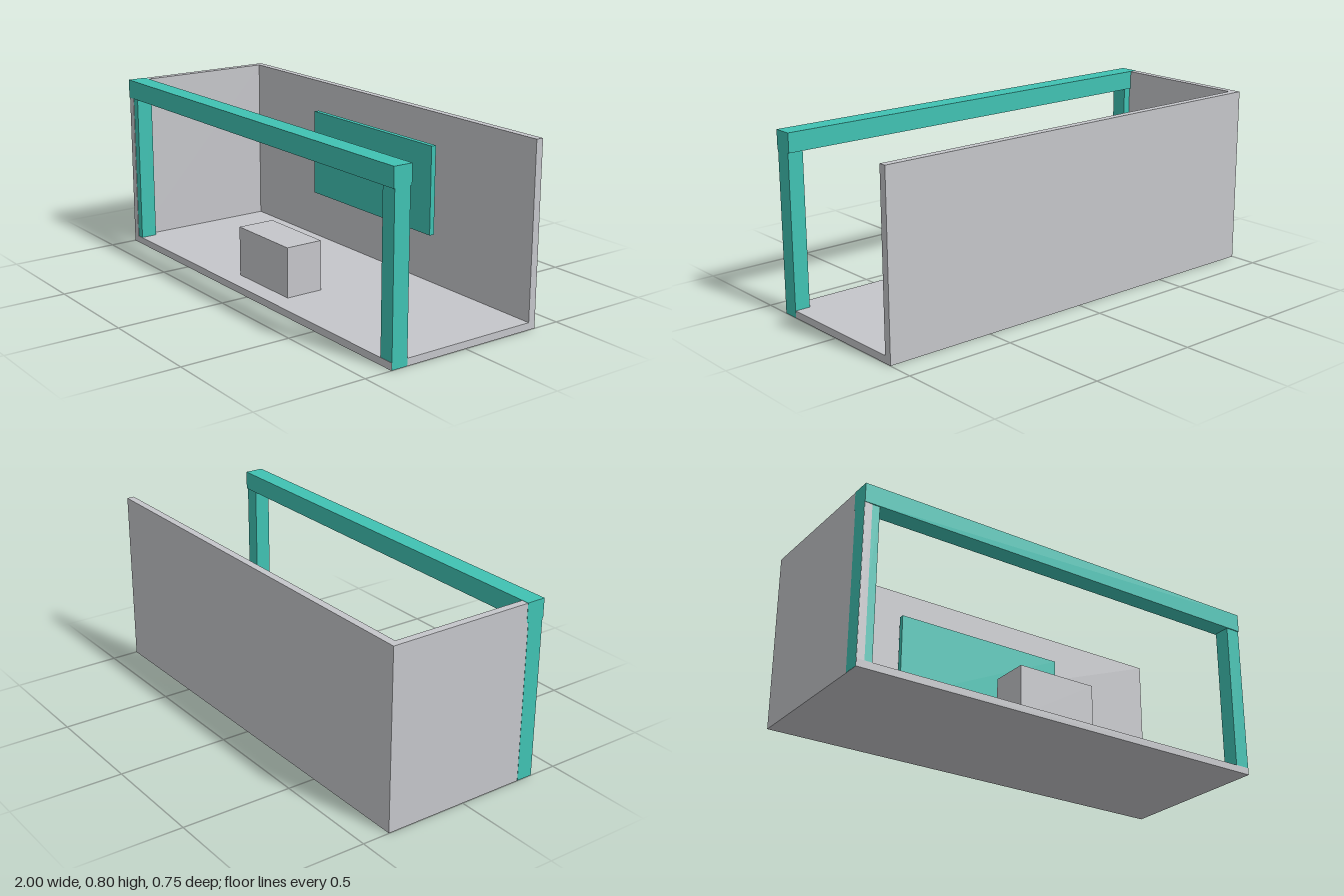
import * as THREE from 'three';

export function createModel() {
  const model = new THREE.Group();
  model.name = 'exhibitionBooth';

  const material = (name, color) => {
    const m = new THREE.MeshStandardMaterial({ color });
    m.name = name;
    return m;
  };
  const grey = material('light grey', 0xc5c6ca);
  const teal = material('teal', 0x40c2b3);
  const slate = material('slate blue', 0x4b6a80);

  // Box given by its extents along each axis
  const block = (name, mat, [x0, x1], [y0, y1], [z0, z1]) => {
    const mesh = new THREE.Mesh(new THREE.BoxGeometry(x1 - x0, y1 - y0, z1 - z0), mat);
    mesh.position.set((x0 + x1) / 2, (y0 + y1) / 2, (z0 + z1) / 2);
    mesh.name = name;
    model.add(mesh);
  };

  // Shell: floor, back wall and one side wall; the +x side stays open
  block('floor', grey, [-0.999, 0.999], [0, 0.032], [-0.376, 0.374]);
  block('backWall', grey, [-0.999, 0.999], [0.032, 0.799], [-0.376, -0.342]);
  block('sideWall', grey, [-0.999, -0.965], [0.032, 0.799], [-0.342, 0.374]);

  // Front frame: two posts carrying a beam
  block('rightPost', teal, [-1, -0.93], [0.001, 0.715], [0.297, 0.372]);
  block('leftPost', teal, [0.93, 1], [0.001, 0.715], [0.297, 0.372]);
  block('beam', teal, [-1, 1], [0.715, 0.8], [0.29, 0.377]);

  // Display panel with a smaller backing behind it
  block('displayPanel', teal, [-0.425, 0.425], [0.265, 0.663], [-0.32, -0.296]);
  block('panelBacking', slate, [-0.41, 0.41], [0.285, 0.643], [-0.332, -0.32]);

  // Counter on the floor
  block('counter', grey, [-0.186, 0.186], [0.032, 0.257], [0.112, 0.287]);

  return model;
}
